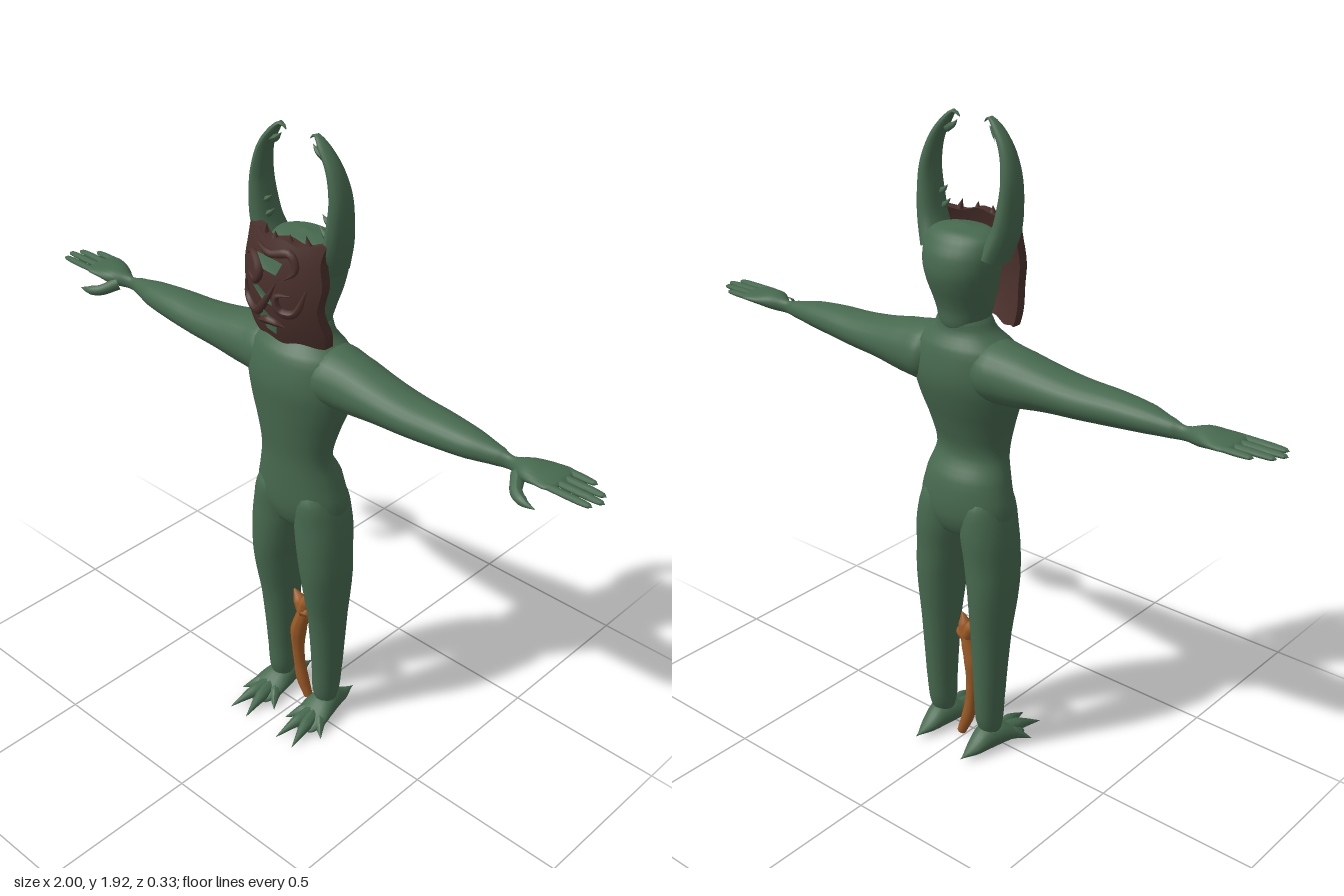
import * as THREE from 'three';

const green = new THREE.MeshStandardMaterial({ color: 0x47694f });
green.name = 'mossGreenSkin';
const brown = new THREE.MeshStandardMaterial({ color: 0x4a302c });
brown.name = 'darkBrownMask';
const orange = new THREE.MeshStandardMaterial({ color: 0x9c5a26 });
orange.name = 'orangeBrownTail';

function mesh(name, geometry, material, parent) {
  const m = new THREE.Mesh(geometry, material);
  m.name = name;
  parent.add(m);
  return m;
}

// Smooth closed loft. Rings are [along, u, v, radiusU, radiusV], ascending.
// Axis order: x -> (y, z), y -> (z, x), z -> (x, y).
function loft(axis, rings, segs = 24, sub = 4) {
  const k = { x: 0, y: 1, z: 2 }[axis];
  const rows = [];
  for (let i = 0; i < rings.length - 1; i++) {
    for (let s = 0; s < sub; s++) {
      const t = s / sub;
      rows.push(rings[i].map((b, c) => {
        const a = rings[Math.max(i - 1, 0)][c];
        const d = rings[i + 1][c];
        const e = rings[Math.min(i + 2, rings.length - 1)][c];
        if (c === 0) return b + (d - b) * t;
        const v = b + 0.5 * t * (d - a + t * (2 * a - 5 * b + 4 * d - e + t * (3 * (b - d) + e - a)));
        return c > 2 ? Math.max(v, 0.0005) : v;
      }));
    }
  }
  rows.push(rings[rings.length - 1]);
  const pos = [], index = [];
  rows.forEach(([a, u, v, ru, rv], i) => {
    for (let j = 0; j < segs; j++) {
      const th = (j / segs) * Math.PI * 2;
      const p = [0, 0, 0];
      p[k] = a;
      p[(k + 1) % 3] = u + ru * Math.cos(th);
      p[(k + 2) % 3] = v + rv * Math.sin(th);
      pos.push(...p);
      if (i < rows.length - 1) {
        const n = (j + 1) % segs, r = i * segs, q = r + segs;
        index.push(r + j, r + n, q + j, r + n, q + n, q + j);
      }
    }
  });
  const g = new THREE.BufferGeometry();
  g.setAttribute('position', new THREE.Float32BufferAttribute(pos, 3));
  g.setIndex(index);
  g.computeVertexNormals();
  return g;
}

// Tube along a curve whose radius follows a list of values; depth widens it in z.
function taper(points, radii, depth = 1, steps = 18, sides = 10) {
  const curve = new THREE.CatmullRomCurve3(points.map(p => new THREE.Vector3(...p)));
  const g = new THREE.TubeGeometry(curve, steps, 1, sides);
  const p = g.attributes.position, v = new THREE.Vector3();
  for (let i = 0; i < p.count; i++) {
    const t = Math.floor(i / (sides + 1)) / steps;
    const f = t * (radii.length - 1), n = Math.min(Math.floor(f), radii.length - 2);
    const r = radii[n] + (radii[n + 1] - radii[n]) * (f - n);
    const c = curve.getPointAt(t);
    v.fromBufferAttribute(p, i).sub(c).multiplyScalar(r);
    v.z *= depth;
    v.add(c);
    p.setXYZ(i, v.x, v.y, v.z);
  }
  g.computeVertexNormals();
  return g;
}

// Front surface of the bowed mask
const MASK_Y = 1.5;
const maskZ = (x, y) => 0.112 - 0.055 * (x / 0.14) ** 2 - 0.028 * ((y - MASK_Y) / 0.15) ** 2;

function maskPatch(name, points, parent) {
  const g = new THREE.ShapeGeometry(new THREE.Shape(points.map(p => new THREE.Vector2(...p))));
  const p = g.attributes.position;
  for (let i = 0; i < p.count; i++) p.setZ(i, maskZ(p.getX(i), p.getY(i)) + 0.007);
  g.computeVertexNormals();
  mesh(name, g, green, parent);
}

function buildMask() {
  const mask = new THREE.Group();
  mask.name = 'mask';
  const g = new THREE.BoxGeometry(0.272, 0.29, 0.03, 20, 20, 1);
  const p = g.attributes.position;
  for (let i = 0; i < p.count; i++) {
    const x = p.getX(i), y = p.getY(i);
    const nx = x + 0.005 * Math.sin(y * 45) * (x / 0.136);
    const ny = y + MASK_Y + 0.006 * Math.sin(x * 60) * (y / 0.145);
    p.setXYZ(i, nx, ny, maskZ(nx, ny) + p.getZ(i) - 0.015);
  }
  g.computeVertexNormals();
  mesh('maskPlate', g, brown, mask);

  // Raised curls
  const curls = [
    [[-0.11, 1.57], [-0.07, 1.59], [-0.03, 1.55], [-0.05, 1.52], [-0.09, 1.53]],
    [[0.11, 1.53], [0.08, 1.46], [0.04, 1.46], [0.03, 1.5], [0.07, 1.51]],
    [[-0.11, 1.5], [-0.1, 1.45], [-0.05, 1.43], [-0.01, 1.47], [0.03, 1.54]],
    [[-0.06, 1.62], [0, 1.61], [0.06, 1.62], [0.08, 1.58], [0.05, 1.55]],
    [[-0.05, 1.4], [0.0, 1.42], [0.05, 1.41]],
  ];
  for (const c of curls) {
    mesh('maskCurl', taper(c.map(([x, y]) => [x, y, maskZ(x, y) + 0.004]), [0.002, 0.01, 0.013, 0.01, 0.001], 1, 20, 8), brown, mask);
  }
  // Green patches
  maskPatch('browPatch', [[-0.05, 1.6], [-0.015, 1.565], [0.03, 1.56], [0.045, 1.595]], mask);
  maskPatch('nosePatch', [[-0.055, 1.505], [-0.01, 1.475], [0.03, 1.47], [0.0, 1.5], [-0.03, 1.515]], mask);
  maskPatch('chinPatch', [[-0.045, 1.44], [-0.01, 1.39], [0.02, 1.38], [0.03, 1.42], [-0.01, 1.45]], mask);

  // Splinters along the top edge
  for (const [x, h] of [[-0.05, 0.03], [-0.01, 0.02], [0.04, 0.025], [0.085, 0.03]]) {
    const s = mesh('maskSplinter', new THREE.ConeGeometry(0.01, h, 6), brown, mask);
    s.position.set(x, 1.645 + h / 3, maskZ(x, 1.645) - 0.015);
    s.rotation.z = x * 4;
  }
  return mask;
}

// One half of the limbs and horns, on the +x side
function buildSide() {
  const side = new THREE.Group();
  mesh('leg', loft('y', [
    [0.025, -0.03, 0.095, 0.02, 0.025], [0.1, -0.033, 0.093, 0.044, 0.04], [0.2, -0.035, 0.095, 0.052, 0.045],
    [0.4, -0.032, 0.097, 0.067, 0.056], [0.55, -0.025, 0.098, 0.086, 0.069], [0.65, -0.022, 0.091, 0.091, 0.077],
    [0.75, -0.025, 0.082, 0.093, 0.079], [0.85, -0.02, 0.075, 0.08, 0.06], [0.92, -0.015, 0.07, 0, 0],
  ]), green, side);

  // Clawed foot with rear spur
  mesh('foot', loft('z', [
    [-0.165, 0.09, 0.018, 0, 0], [-0.11, 0.092, 0.026, 0.024, 0.018], [-0.06, 0.093, 0.04, 0.038, 0.038],
    [-0.01, 0.095, 0.04, 0.05, 0.038], [0.04, 0.098, 0.026, 0.055, 0.024], [0.08, 0.1, 0.014, 0.04, 0.012], [0.1, 0.1, 0.01, 0, 0],
  ], 16), green, side);
  for (const [x, z] of [[0.025, 0.08], [0.066, 0.165], [0.134, 0.165], [0.172, 0.075]]) {
    const mx = (0.095 + x) / 2;
    mesh('toeClaw', taper([[0.095, 0.035, -0.01], [mx, 0.026, z * 0.5], [x, 0.003, z]], [0.024, 0.02, 0.0005]), green, side);
  }

  // Arm running into a flat palm
  mesh('arm', loft('x', [
    [0.05, 1.245, -0.03, 0, 0], [0.09, 1.245, -0.03, 0.08, 0.09], [0.18, 1.24, -0.03, 0.082, 0.088], [0.3, 1.236, -0.025, 0.063, 0.078],
    [0.4, 1.233, -0.022, 0.053, 0.07], [0.5, 1.235, -0.02, 0.047, 0.06], [0.6, 1.235, -0.02, 0.038, 0.046],
    [0.68, 1.232, -0.025, 0.026, 0.024], [0.72, 1.23, -0.025, 0.02, 0.014], [0.77, 1.238, -0.022, 0.026, 0.042],
    [0.82, 1.243, -0.026, 0.017, 0.057], [0.865, 1.245, -0.027, 0.01, 0.056], [0.885, 1.245, -0.027, 0, 0],
  ]), green, side);
  for (const [z, end] of [[-0.072, 0.94], [-0.042, 0.985], [-0.013, 1.0], [0.018, 0.985]]) {
    mesh('finger', loft('x', [
      [0.84, 1.245, z, 0.008, 0.012], [end - 0.05, 1.245, z, 0.008, 0.012], [end - 0.012, 1.245, z, 0.006, 0.009], [end, 1.245, z, 0, 0],
    ], 10), green, side);
  }
  mesh('thumb', taper([[0.755, 1.225, 0.0], [0.785, 1.208, 0.045], [0.82, 1.203, 0.062], [0.855, 1.2, 0.064]], [0.02, 0.017, 0.014, 0.001]), green, side);

  // Broad curved horn, hooked tip and inner thorns
  mesh('horn', taper([
    [0.1, 1.56, -0.03], [0.128, 1.63, -0.018], [0.139, 1.7, -0.014], [0.14, 1.77, -0.012],
    [0.122, 1.84, -0.008], [0.09, 1.89, -0.005], [0.06, 1.918, -0.005], [0.042, 1.905, -0.004],
  ], [0.036, 0.033, 0.03, 0.026, 0.022, 0.017, 0.012, 0.001], 1.65, 32, 14), green, side);
  for (const [x, y, l] of [[0.1, 1.66, 0.04], [0.105, 1.7, 0.03], [0.07, 1.88, 0.03]]) {
    mesh('hornThorn', taper([[x + 0.02, y - 0.01, -0.005], [x, y, 0], [x - l / 2, y + l / 2, 0]], [0.014, 0.008, 0.0005], 1, 8, 6), green, side);
  }
  return side;
}

export function createModel() {
  const model = new THREE.Group();
  model.name = 'hornedCreature';

  mesh('torso', loft('y', [
    [0.69, -0.025, 0, 0, 0], [0.73, -0.025, 0, 0.07, 0.11], [0.8, -0.025, 0, 0.095, 0.155], [0.9, -0.018, 0, 0.092, 0.137],
    [0.97, 0, 0, 0.075, 0.12], [1.05, -0.004, 0, 0.088, 0.135], [1.15, -0.015, 0, 0.11, 0.166], [1.22, -0.02, 0, 0.119, 0.173],
    [1.3, -0.024, 0, 0.104, 0.158], [1.345, -0.03, 0, 0.073, 0.1], [1.39, -0.035, 0, 0.06, 0.07], [1.44, -0.04, 0, 0, 0],
  ], 32), green, model);

  mesh('head', loft('y', [
    [1.33, -0.04, 0, 0, 0], [1.35, -0.04, 0, 0.058, 0.06], [1.41, -0.035, 0, 0.074, 0.085], [1.5, -0.045, 0, 0.095, 0.108],
    [1.56, -0.045, 0, 0.092, 0.117], [1.605, -0.038, 0, 0.076, 0.112], [1.625, -0.035, 0, 0.055, 0.08], [1.635, -0.035, 0, 0, 0],
  ], 28), green, model);
  model.add(buildMask());

  // Mirrored limbs and horns
  for (const [name, s] of [['leftSide', 1], ['rightSide', -1]]) {
    const side = buildSide();
    side.name = name;
    side.scale.x = s;
    model.add(side);
  }

  // Upright tail between the legs with a forked end
  mesh('tail', taper([
    [0.012, 0.01, -0.04], [-0.012, 0.08, -0.036], [-0.024, 0.18, -0.032], [-0.022, 0.27, -0.03], [-0.004, 0.34, -0.03], [0.0, 0.395, -0.03],
  ], [0.014, 0.02, 0.018, 0.02, 0.026, 0.022, 0.012], 1, 28, 12), orange, model);
  for (const tip of [[-0.042, 0.42], [0.018, 0.43], [0.036, 0.345]]) {
    mesh('tailFork', taper([[0, 0.36, -0.03], [tip[0] * 0.55, (0.375 + tip[1]) / 2, -0.03], [tip[0], tip[1], -0.03]], [0.024, 0.02, 0.002], 1, 10, 10), orange, model);
  }
  return model;
}
